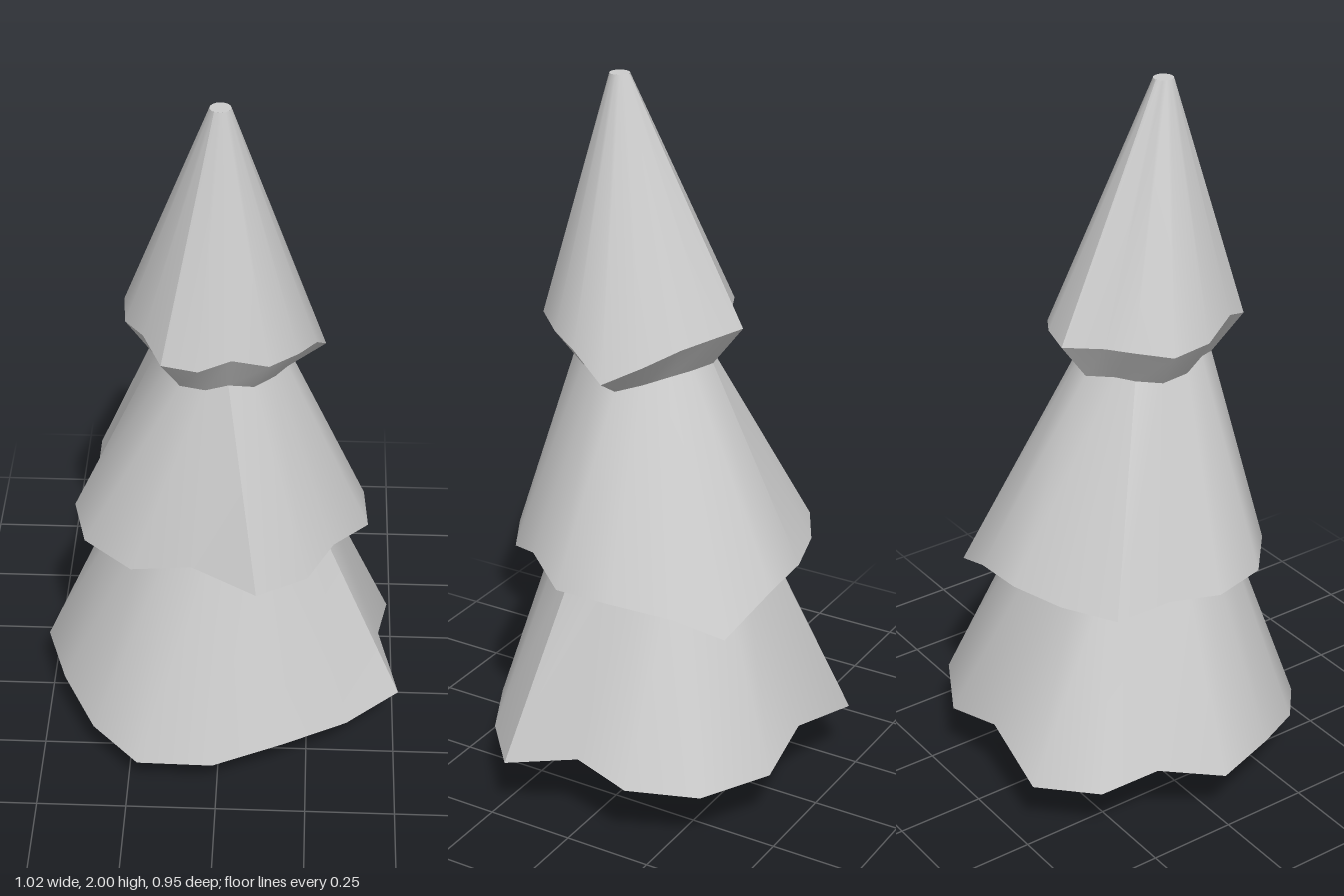
import * as THREE from 'three';
import { mergeGeometries } from 'three/addons/utils/BufferGeometryUtils.js';

// Ragged skirt hems, as [x, y, z] going round from the back
const lowerHem = [
  [-0.245, 0.18, -0.475], [0, 0.23, -0.44], [0.195, 0.18, -0.455], [0.39, 0.18, -0.35],
  [0.48, 0.195, -0.17], [0.452, 0.225, -0.005], [0.508, 0.18, 0.197], [0.36, 0.18, 0.33],
  [0.185, 0.18, 0.423], [-0.01, 0.138, 0.472], [-0.22, 0.117, 0.447], [-0.35, 0.145, 0.335],
  [-0.445, 0.18, 0.17], [-0.508, 0.18, -0.02], [-0.42, 0.215, -0.185], [-0.38, 0.18, -0.342],
];
const middleHem = [
  [-0.36, 0.695, -0.275], [-0.215, 0.695, -0.355], [-0.055, 0.695, -0.4], [0.1, 0.685, -0.4],
  [0.275, 0.605, -0.355], [0.345, 0.665, -0.23], [0.395, 0.69, -0.07], [0.405, 0.695, 0.085],
  [0.31, 0.73, 0.22], [0.24, 0.695, 0.325], [0.105, 0.695, 0.402], [-0.07, 0.732, 0.335],
  [-0.235, 0.695, 0.305], [-0.37, 0.695, 0.185], [-0.41, 0.695, 0.025], [-0.36, 0.695, -0.105],
];
const upperHem = [
  [-0.04, 1.35, -0.225], [0.065, 1.35, -0.195], [0.145, 1.335, -0.145], [0.22, 1.295, -0.07],
  [0.275, 1.25, 0.02], [0.25, 1.32, 0.12], [0.205, 1.34, 0.205], [0.13, 1.355, 0.29],
  [0.035, 1.38, 0.305], [-0.05, 1.35, 0.315], [-0.145, 1.35, 0.29], [-0.195, 1.385, 0.205],
  [-0.25, 1.355, 0.095], [-0.26, 1.35, -0.025], [-0.2, 1.365, -0.11], [-0.12, 1.355, -0.145],
];

// Round ring whose points follow the directions of a hem
function neck(hem, y, radius, z0) {
  return hem.map(([x, , z]) => {
    const a = Math.atan2(z - z0 * 0.5, x);
    return [radius * Math.cos(a), y, z0 + radius * Math.sin(a)];
  });
}

// Renumber a ring so that it lines up with the next hem
const roll = (ring, k) => ring.map((_, i) => ring[(i - k + ring.length) % ring.length]);

// Smooth band between two rings, split into strips at the seams
function band(bottom, top, seams) {
  const n = bottom.length;
  return mergeGeometries(seams.map((start, s) => {
    const end = s + 1 < seams.length ? seams[s + 1] : seams[0] + n;
    const points = [], index = [];
    for (let i = start; i <= end; i++) {
      points.push(...bottom[i % n], ...top[i % n]);
      const a = (i - start) * 2;
      if (i < end) index.push(a, a + 1, a + 2, a + 2, a + 1, a + 3);
    }
    const geo = new THREE.BufferGeometry();
    geo.setAttribute('position', new THREE.Float32BufferAttribute(points, 3));
    geo.setIndex(index);
    geo.computeVertexNormals();
    return geo;
  }));
}

export function createModel() {
  const group = new THREE.Group();
  const grey = new THREE.MeshStandardMaterial({ color: 0xcccccc, side: THREE.DoubleSide });
  grey.name = 'plain grey';

  const add = (name, geometry) => {
    const mesh = new THREE.Mesh(geometry, grey);
    mesh.name = name;
    group.add(mesh);
    return mesh;
  };

  // Trunk with a flared foot
  const profile = [[0.099, 0], [0.086, 0.14], [0.067, 0.26], [0.071, 0.5], [0.071, 0.76]];
  add('trunk', new THREE.LatheGeometry(profile.map(([r, y]) => new THREE.Vector2(r, y)), 24));
  add('trunkBase', new THREE.CircleGeometry(0.099, 24).rotateX(Math.PI / 2));

  // Narrow rings where each tier tucks in under the next hem
  const lowerNeck = neck(lowerHem, 0.76, 0.265, 0.01);
  const upperNeck = upperHem.map(([x, y, z]) => [x * 0.7, 1.24 + (y - 1.35) * 0.4, 0.05 + (z - 0.05) * 0.7]);

  // Tiers of branches, each with its underside
  add('lowerBranches', band(lowerHem, lowerNeck, [6]));
  add('middleUnderside', band(roll(lowerNeck, 1), middleHem, [0, 10]));
  add('middleBranches', band(middleHem, roll(upperNeck, 2), [0, 10]));
  add('crownUnderside', band(upperNeck, upperHem, [0, 10]));

  // Crown leaning forward to a blunt tip
  add('crown', band(upperHem, neck(upperHem, 2, 0.027, 0.125), [0, 10]));
  add('crownTip', new THREE.CircleGeometry(0.027, 16).rotateX(-Math.PI / 2)).position.set(0, 2, 0.125);

  return group;
}
